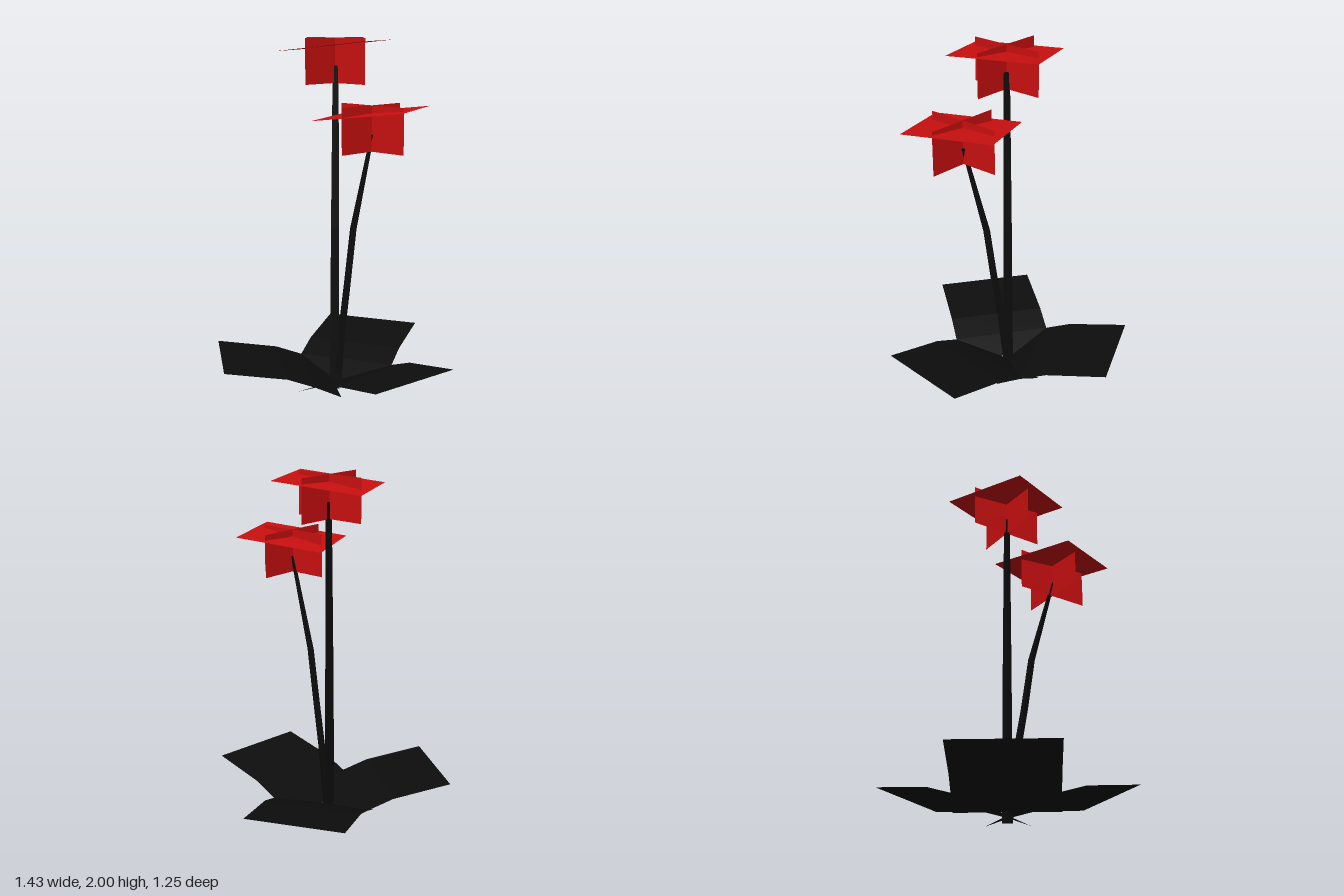
import * as THREE from 'three';

const red = new THREE.MeshStandardMaterial({ color: 0xcc1010, side: THREE.DoubleSide, flatShading: true });
const black = new THREE.MeshStandardMaterial({ color: 0x0d0d0d, side: THREE.DoubleSide, flatShading: true });

function add(parent, name, geometry, material) {
  const mesh = new THREE.Mesh(geometry, material);
  mesh.name = name;
  parent.add(mesh);
  return mesh;
}

// Three-sided stem lofted through rings of [x, y, z, radius]
function stemGeometry(rings) {
  const position = [], index = [];
  for (const [x, y, z, r] of rings) {
    for (let k = 0; k < 3; k++) {
      const a = Math.PI + (k * Math.PI * 2) / 3;
      position.push(x + r * Math.sin(a), y, z + r * Math.cos(a));
    }
  }
  for (let i = 0; i < rings.length - 1; i++) {
    for (let k = 0; k < 3; k++) {
      const a = i * 3 + k, b = i * 3 + ((k + 1) % 3);
      index.push(a, b, b + 3, a, b + 3, a + 3);
    }
  }
  const top = (rings.length - 1) * 3;
  index.push(0, 2, 1, top, top + 1, top + 2);
  const g = new THREE.BufferGeometry();
  g.setAttribute('position', new THREE.Float32BufferAttribute(position, 3));
  g.setIndex(index);
  g.computeVertexNormals();
  return g;
}

// Folded leaf strip running outward along +x
function leafGeometry() {
  const profile = [[0.02, 0.05], [0.165, 0.115], [0.315, 0.17], [0.66, 0.225]];
  const g = new THREE.PlaneGeometry(1, 0.57, profile.length - 1, 1).rotateX(-Math.PI / 2);
  const p = g.attributes.position;
  for (let i = 0; i < p.count; i++) {
    const [r, y] = profile[i % profile.length];
    p.setX(i, r);
    p.setY(i, y);
  }
  g.computeVertexNormals();
  return g;
}

// Blossom: two crossed upright cards and one slightly tilted flat card
function blossom(name, x, y, z) {
  const flower = new THREE.Group();
  flower.name = name;
  flower.position.set(x, y, z);
  const card = new THREE.PlaneGeometry(0.448, 0.245);
  for (let i = 0; i < 2; i++) {
    add(flower, 'uprightPetals', card, red).rotation.y = -0.414 + (i * Math.PI) / 2;
  }
  const flat = add(flower, 'flatPetals', new THREE.PlaneGeometry(0.498, 0.496).rotateX(-Math.PI / 2), red);
  flat.position.y = 0.081;
  flat.rotation.z = 0.11;
  return flower;
}

export function createModel() {
  const model = new THREE.Group();
  model.name = 'flowerPlant';

  // Stems
  add(model, 'tallStem', stemGeometry([
    [-0.002, 0, 0.036, 0.034], [0, 0.95, 0.036, 0.028], [0.003, 1.85, 0.036, 0.02],
  ]), black);
  add(model, 'bentStem', stemGeometry([
    [0.012, 0.01, 0.034, 0.026], [0.055, 0.4, 0.062, 0.024], [0.093, 0.65, 0.088, 0.023],
    [0.137, 0.97, 0.114, 0.022], [0.268, 1.5, 0.19, 0.012],
  ]), black);

  // Blossoms
  model.add(blossom('tallBlossom', -0.003, 1.878, 0.038));
  model.add(blossom('shortBlossom', 0.264, 1.532, 0.192));

  // Leaves around the base
  const leaf = leafGeometry();
  ['leftLeaf', 'rightLeaf', 'backLeaf'].forEach((name, i) => {
    const mesh = add(model, name, leaf, black);
    mesh.position.z = 0.034;
    mesh.rotation.y = -THREE.MathUtils.degToRad(29.2 + i * 120);
  });
  return model;
}
